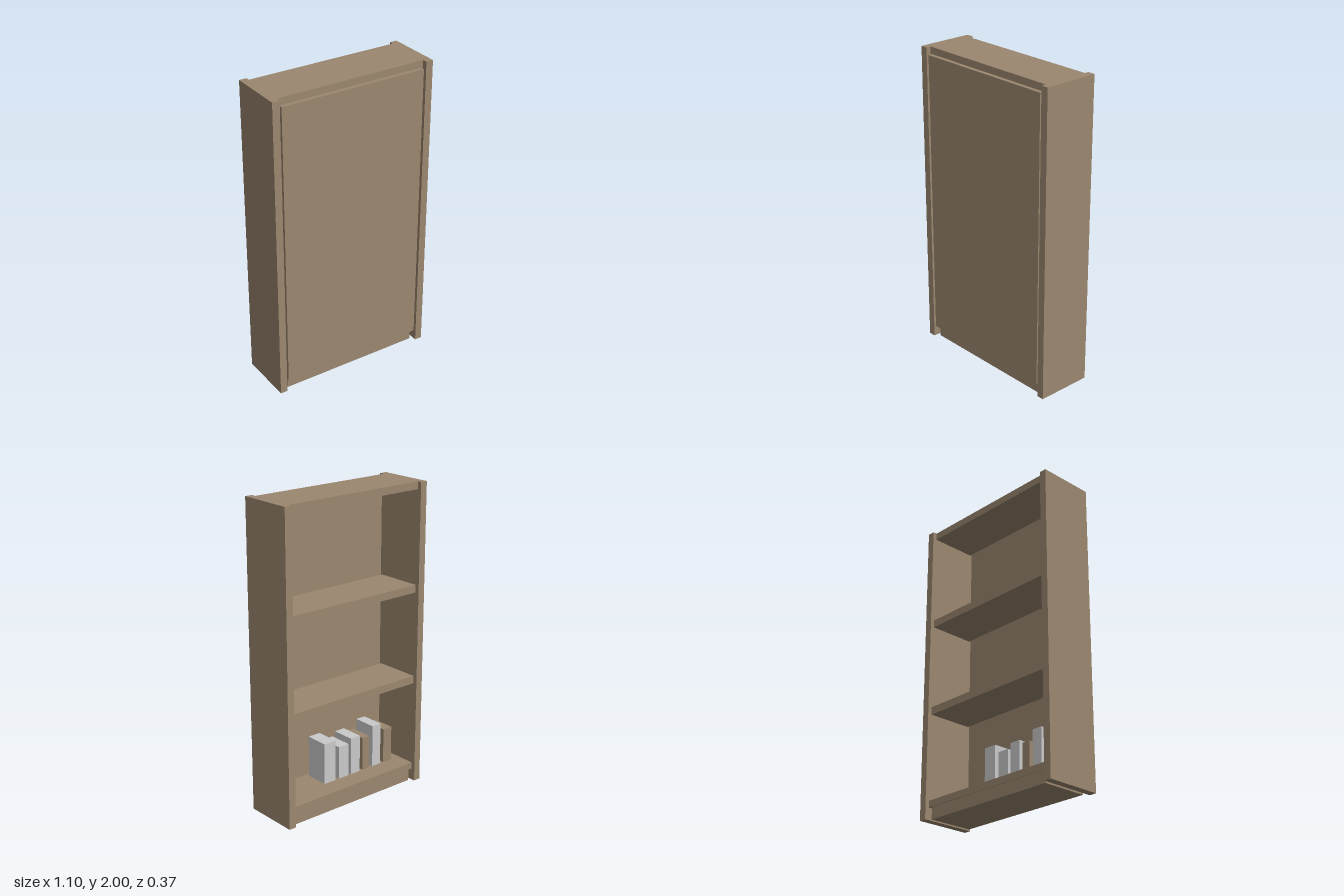
import * as THREE from 'three';

const wood = new THREE.MeshStandardMaterial({ color: 0x9b876f });
wood.name = 'wood';
const paper = new THREE.MeshStandardMaterial({ color: 0xcacaca });
paper.name = 'lightGrey';

// Box given by its extents along each axis
function board(name, [x0, x1], [y0, y1], [z0, z1], material = wood) {
  const mesh = new THREE.Mesh(new THREE.BoxGeometry(x1 - x0, y1 - y0, z1 - z0), material);
  mesh.position.set((x0 + x1) / 2, (y0 + y1) / 2, (z0 + z1) / 2);
  mesh.name = name;
  return mesh;
}

export function createModel() {
  const bookcase = new THREE.Group();
  bookcase.name = 'bookcase';

  // Full-height side panels
  bookcase.add(
    board('leftSide', [0.5, 0.548], [0, 2], [-0.184, 0.184]),
    board('rightSide', [-0.548, -0.5], [0, 2], [-0.184, 0.184])
  );

  // Bottom, two middle shelves and top
  const levels = [
    ['bottomShelf', 0.078, 0.122],
    ['lowerShelf', 0.685, 0.735],
    ['upperShelf', 1.295, 1.345],
    ['topBoard', 1.952, 2]
  ];
  for (const [name, y0, y1] of levels) {
    bookcase.add(board(name, [-0.5, 0.5], [y0, y1], [-0.157, 0.152]));
  }

  // Closed front panel and recessed plinth
  bookcase.add(
    board('frontPanel', [-0.487, 0.487], [0.078, 1.955], [0.152, 0.18]),
    board('plinth', [-0.477, 0.477], [0, 0.078], [-0.152, 0.152])
  );

  // Row of books on the bottom shelf: left edge, width, height, colour
  const books = new THREE.Group();
  books.name = 'books';
  const row = [
    [0.142, 0.09, 0.275, paper],
    [0.022, 0.078, 0.22, paper],
    [-0.078, 0.076, 0.25, paper],
    [-0.178, 0.057, 0.225, wood],
    [-0.263, 0.07, 0.285, paper],
    [-0.36, 0.07, 0.235, wood]
  ];
  row.forEach(([x, w, h, material], i) => {
    books.add(board(`book${i + 1}`, [x - w, x], [0.122, 0.122 + h], [-0.03, 0.128], material));
  });
  bookcase.add(books);

  return bookcase;
}
